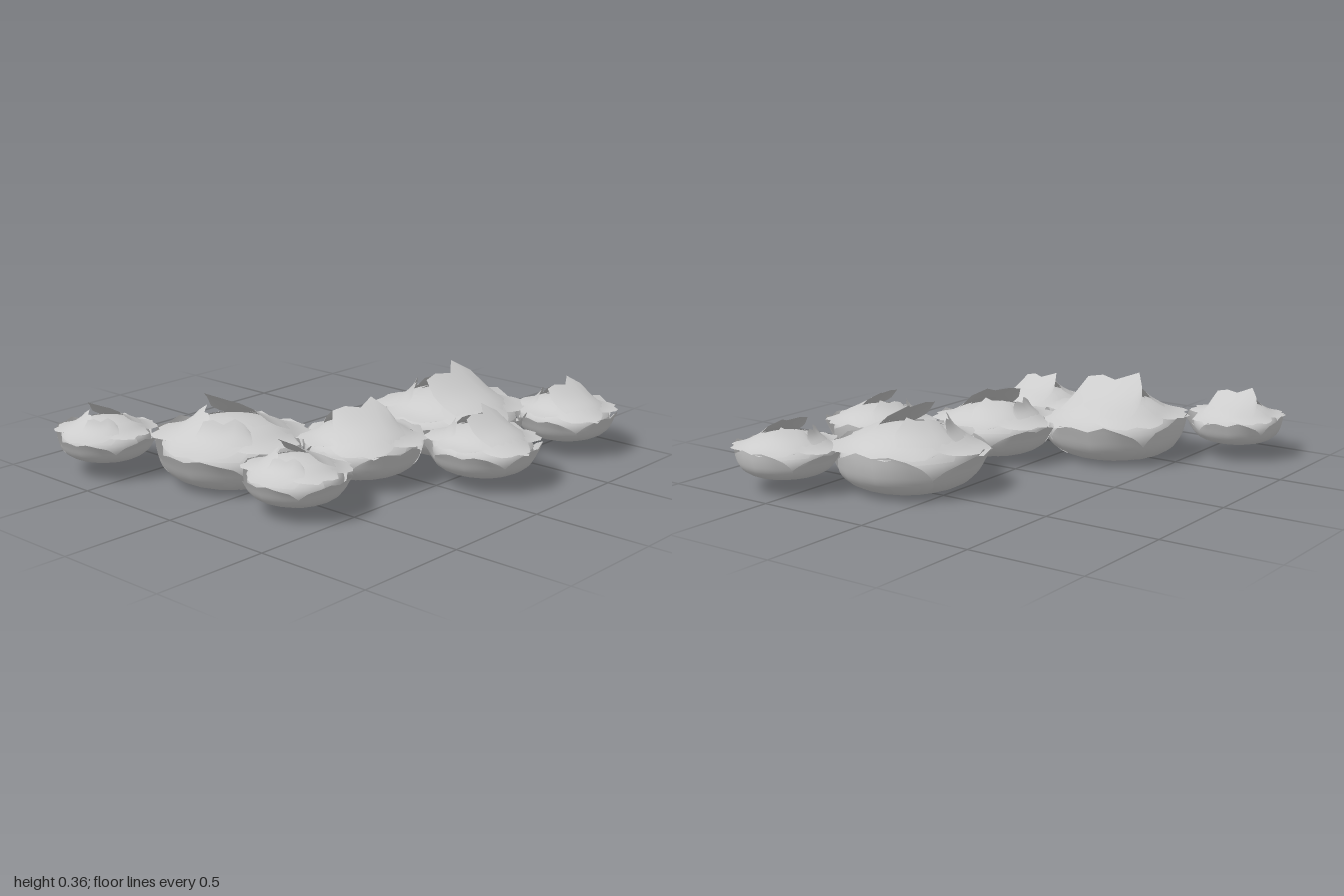
import * as THREE from 'three';

const grey = new THREE.MeshStandardMaterial({ color: 0xcccccc, side: THREE.DoubleSide });
grey.name = 'pale grey';
const rad = THREE.MathUtils.degToRad;

// Squashed head of unit radius: domed above, fuller and flatter below.
function squash(x, y, z, r) {
  const h = Math.hypot(x, z);
  const k = y < 0 ? Math.pow(Math.max(h, 0.02), -0.35) : 1;
  const v = y < 0 ? -0.42 * Math.pow(-y, 0.9) : 0.48 * y;
  return [x * k * r, v * r, z * k * r];
}

// Smooth closed core of a head
function coreGeometry() {
  const g = new THREE.SphereGeometry(1, 32, 20);
  const p = g.attributes.position;
  for (let i = 0; i < p.count; i++) p.setXYZ(i, ...squash(p.getX(i), p.getY(i), p.getZ(i), 0.97));
  g.computeVertexNormals();
  return g;
}

// A leaf hugs the head from angle `from` to `to`, then peels away by `lift` at its pointed tip.
function leafGeometry({ turn, from, to, width, lift, gap, seed }) {
  const nu = 6, nv = 14, pos = [], index = [];
  const jag = [-0.3, -0.04, 0.02, -0.08, 0.08, -0.08, -0.26];
  for (let j = 0; j <= nv; j++) {
    for (let i = 0; i <= nu; i++) {
      const u = i / nu * 2 - 1, v = j / nv;
      const ragged = jag[seed % 2 ? nu - i : i] + 0.03 * Math.sin(seed * 2.3 + i * 1.7);
      const s = rad(from + (to - from) * v * (1 + 0.5 * ragged * v));
      const t = rad(width) * u * (0.55 + 0.45 * Math.sin(Math.PI * Math.min(1, 0.1 + v * 0.72)));
      const peel = lift * Math.pow(v, 5) * (1 + 2.4 * ragged);
      pos.push(...squash(Math.sin(t), Math.cos(t) * Math.sin(s), Math.cos(t) * Math.cos(s), 1 + gap + peel));
    }
  }
  for (let j = 0; j < nv; j++) {
    for (let i = 0; i < nu; i++) {
      const a = j * (nu + 1) + i, b = a + nu + 1;
      if (to > from) index.push(a, a + 1, b, a + 1, b + 1, b);
      else index.push(a, b, a + 1, a + 1, b, b + 1);
    }
  }
  const g = new THREE.BufferGeometry();
  g.setAttribute('position', new THREE.Float32BufferAttribute(pos, 3));
  g.setIndex(index);
  g.computeVertexNormals();
  return g.rotateY(rad(turn));
}

export function createModel() {
  const model = new THREE.Group();
  model.name = 'leafyCluster';

  const parts = [['core', coreGeometry()]];
  // Outer leaves cupping the underside and flaring at the rim
  for (let i = 0; i < 4; i++) {
    parts.push(['outerLeaf', leafGeometry({
      turn: i * 90 + 12, from: -60, to: 20 + 6 * Math.sin(i * 1.9),
      width: 44, lift: 0.2, gap: 0.01 + 0.01 * (i % 2), seed: i })]);
  }
  // Dome leaves lying over the shoulder, their tips jutting past the rim
  for (let i = 0; i < 5; i++) {
    parts.push(['domeLeaf', leafGeometry({
      turn: i * 72 + 50, from: 62, to: 22 + 5 * Math.sin(i * 2.9),
      width: 32, lift: 0.2, gap: 0.006 * (i % 3), seed: i + 2 })]);
  }
  // Crown leaves standing up near the middle
  [[0, 94, 36, 0.58], [150, 74, 24, 0.3], [215, 66, 24, 0.3]].forEach(([turn, to, width, lift], i) =>
    parts.push(['crownLeaf', leafGeometry({ turn, from: 15, to, width, lift, gap: 0.008, seed: i + 6 })]));

  // Heads: x, z, radius, turn, height of the underside
  const heads = [
    [-0.49, -0.19, 0.295, 90, 0], [0.45, 0.21, 0.295, 0, 0], [-0.13, 0.2, 0.24, -25, 0.03],
    [0.17, 0.6, 0.212, 5, 0.05], [0.77, 0.59, 0.2, -8, 0.06], [-0.6, 0.28, 0.195, 80, 0.05],
    [-0.78, -0.645, 0.19, 95, 0.065],
  ];
  for (const [x, z, r, turn, base] of heads) {
    const head = new THREE.Group();
    head.name = 'leafyHead';
    for (const [name, geometry] of parts) {
      const mesh = new THREE.Mesh(geometry, grey);
      mesh.name = name;
      head.add(mesh);
    }
    head.scale.setScalar(r);
    head.rotation.y = rad(turn);
    head.position.set(x, base + 0.41 * r, z);
    model.add(head);
  }

  // Rest on the ground, centred
  const box = new THREE.Box3().setFromObject(model, true);
  const c = box.getCenter(new THREE.Vector3());
  for (const head of model.children) head.position.sub(new THREE.Vector3(c.x, box.min.y, c.z));
  return model;
}
